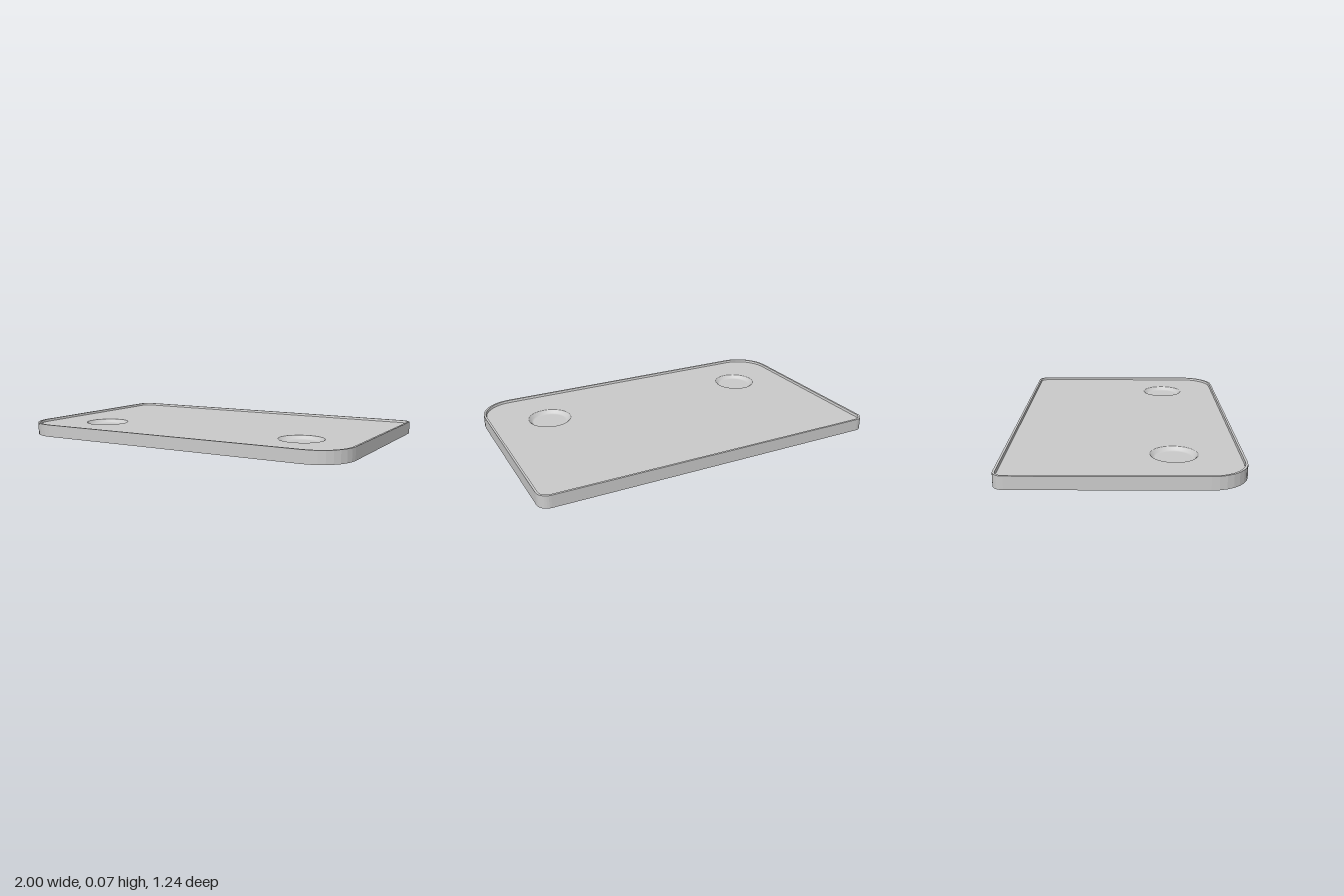
import * as THREE from 'three';

const HALF_W = 1, HALF_D = 0.62, HEIGHT = 0.07, PANEL_Y = 0.057, PANEL_INSET = 0.016;
const DIMPLE = { x: 0.65, z: 0.265, r: 0.125 };

// Plan outline, wide corners at the front and tight ones at the back, shrunk by inset
function outline(inset) {
  const pts = [], steps = 8;
  [[1, 1, 0.2], [-1, 1, 0.2], [-1, -1, 0.06], [1, -1, 0.06]].forEach(([sx, sz, r], k) => {
    for (let i = 0; i <= steps; i++) {
      const a = (k + i / steps) * Math.PI / 2;
      pts.push([
        sx * (HALF_W - r) + (r - inset) * Math.cos(a),
        sz * (HALF_D - r) + (r - inset) * Math.sin(a),
      ]);
    }
  });
  return pts;
}

// Sheet skinned through [inset, y] outlines
function skin(profile) {
  const pos = [], idx = [];
  const n = outline(0).length;
  profile.forEach(([inset, y]) => outline(inset).forEach(([x, z]) => pos.push(x, y, z)));
  for (let j = 0; j < profile.length - 1; j++) {
    for (let i = 0; i < n; i++) {
      const a = j * n + i, b = j * n + (i + 1) % n;
      idx.push(a, a + n, b, b, a + n, b + n);
    }
  }
  const g = new THREE.BufferGeometry();
  g.setAttribute('position', new THREE.Float32BufferAttribute(pos, 3));
  g.setIndex(idx);
  g.computeVertexNormals();
  return g;
}

export function createModel() {
  const group = new THREE.Group();
  const smooth = new THREE.MeshStandardMaterial({ color: 0xcccccc, side: THREE.DoubleSide });
  const flat = new THREE.MeshStandardMaterial({ color: 0xcccccc, side: THREE.DoubleSide, flatShading: true });
  const add = (name, geometry, material) => {
    const mesh = new THREE.Mesh(geometry, material);
    mesh.name = name;
    group.add(mesh);
    return mesh;
  };

  // Thin outer skirt, open underneath, with a narrow raised lip
  add('skirtAndRim', skin([[0, 0], [0, HEIGHT], [0.012, HEIGHT], [PANEL_INSET, PANEL_Y]]), flat);

  // Recessed panel with two round openings for the dimples
  const shape = new THREE.Shape(outline(PANEL_INSET).map(([x, z]) => new THREE.Vector2(x, -z)));
  for (const s of [-1, 1]) {
    const hole = new THREE.Path();
    hole.absarc(s * DIMPLE.x, -DIMPLE.z, DIMPLE.r, 0, Math.PI * 2, true);
    shape.holes.push(hole);
  }
  const panel = new THREE.ShapeGeometry(shape, 24);
  panel.rotateX(-Math.PI / 2);
  add('topPanel', panel, smooth).position.y = PANEL_Y;

  // Shallow dished dimples with sloping sides and a flat floor
  const profile = [[DIMPLE.r, 0], [0.119, -0.004], [0.108, -0.017], [0.1, -0.02], [0.095, -0.02], [0, -0.02]]
    .map(([r, y]) => new THREE.Vector2(r, y));
  const bowl = new THREE.LatheGeometry(profile, 48);
  for (const s of [-1, 1]) {
    add(s > 0 ? 'leftDimple' : 'rightDimple', bowl, smooth).position.set(s * DIMPLE.x, PANEL_Y, DIMPLE.z);
  }
  return group;
}
